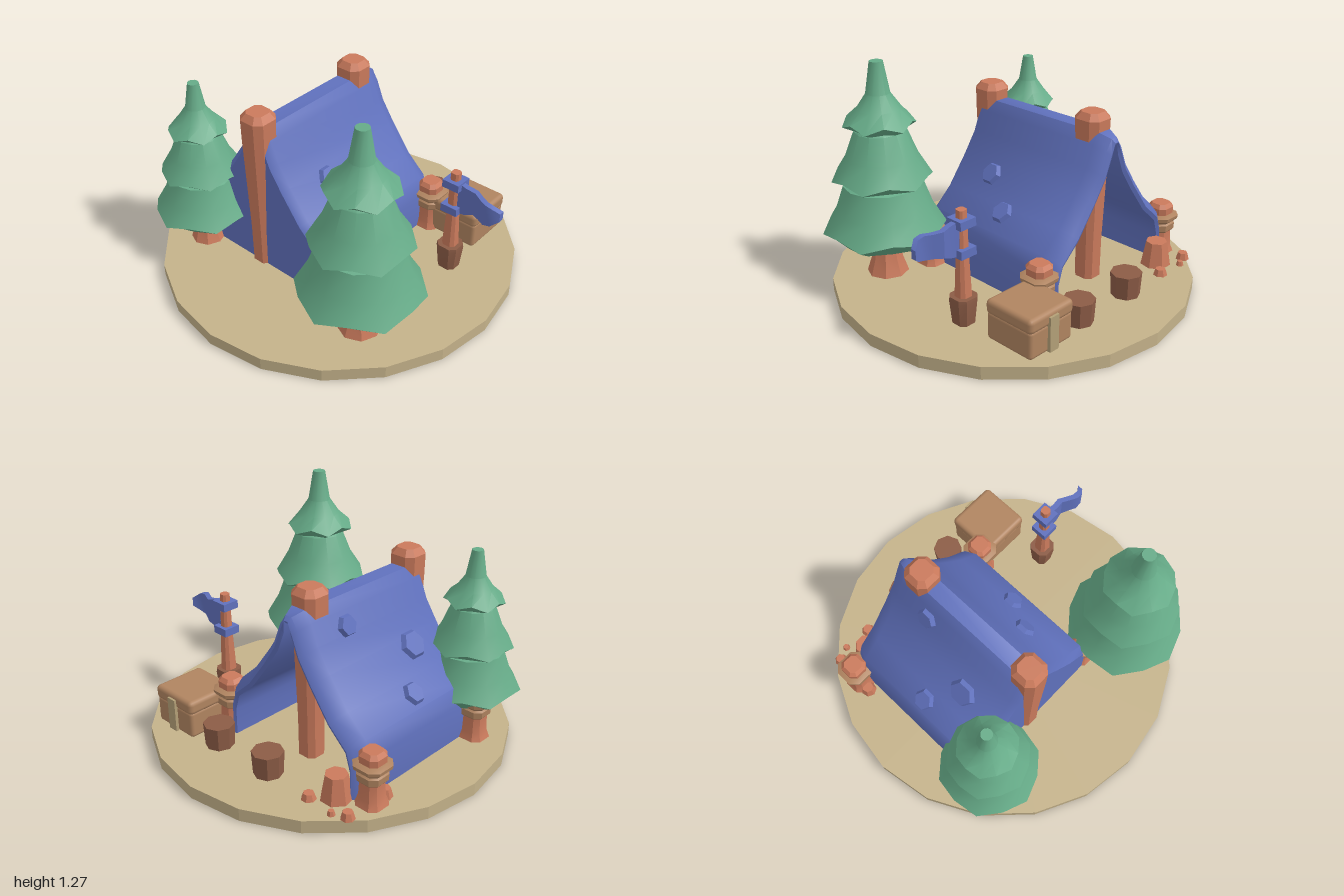
import * as THREE from 'three';
import { toCreasedNormals } from 'three/addons/utils/BufferGeometryUtils.js';
import { RoundedBoxGeometry } from 'three/addons/geometries/RoundedBoxGeometry.js';

const V = (x, y, z) => new THREE.Vector3(x, y, z);
const GROUND = 0.07;

function material(name, color, side = THREE.FrontSide) {
  const m = new THREE.MeshStandardMaterial({ color, side });
  m.name = name;
  return m;
}

// Skin a list of cross-sections
function loft(rings, { closed = true, caps = true, crease = 0.6 } = {}) {
  const collapse = (ring) => {
    const c = ring.reduce((s, p) => s.add(p), V(0, 0, 0)).divideScalar(ring.length);
    return ring.map(() => c);
  };
  const all = caps ? [collapse(rings[0]), ...rings, collapse(rings[rings.length - 1])] : rings;
  const pos = [];
  const tri = (...pts) => {
    const t = new THREE.Triangle(...pts);
    if (t.getArea() > 1e-9) pts.forEach((p) => pos.push(p.x, p.y, p.z));
  };
  for (let i = 0; i + 1 < all.length; i++) {
    const n = all[i].length;
    for (let j = 0; j < (closed ? n : n - 1); j++) {
      const k = (j + 1) % n;
      tri(all[i][j], all[i][k], all[i + 1][k]);
      tri(all[i][j], all[i + 1][k], all[i + 1][j]);
    }
  }
  const g = new THREE.BufferGeometry();
  g.setAttribute('position', new THREE.Float32BufferAttribute(pos, 3));
  return toCreasedNormals(g, crease);
}

// Square post with chamfered corners; rows are [height, half width]
function post(rows) {
  return loft(rows.map(([y, w]) => {
    const c = w * 0.55;
    return [[-c, w], [c, w], [w, c], [w, -c], [c, -w], [-c, -w], [-w, -c], [-w, c]]
      .map(([x, z]) => V(x, y, z));
  }));
}

// Tree crown tier profile rows: [radius, height, jaggedness]
function crown() {
  const rows = [
    [0.06, 0.30, 0], [0.25, 0.285, 0.3], [0.33, 0.35, 1], [0.265, 0.46, 0], [0.215, 0.60, 0],
    [0.20, 0.605, 0.3], [0.265, 0.645, 1], [0.195, 0.76, 0], [0.14, 0.90, 0],
    [0.13, 0.905, 0.3], [0.19, 0.945, 1], [0.12, 1.02, 0], [0.065, 1.10, 0], [0.036, 1.27, 0],
  ];
  const sides = 12;
  return loft(rows.map(([r, y, jag]) => Array.from({ length: sides }, (_, j) => {
    const a = (j / sides) * Math.PI * 2;
    const s = jag * (j % 2 ? 1 : -1);
    const rr = r * (1 - 0.025 * s);
    return V(Math.sin(a) * rr, y + 0.017 * s, Math.cos(a) * rr);
  })));
}

export function createModel() {
  const model = new THREE.Group();
  model.name = 'campsite';
  const sand = material('sand', 0xc4b28a);
  const blue = material('blue canvas', 0x6071bd, THREE.DoubleSide);
  const green = material('pine green', 0x66ab88);
  const wood = material('orange wood', 0xca7a5c);
  const bark = material('dark bark', 0x8c5c46);
  const crateWood = material('crate wood', 0xb08460);
  const metal = material('latch tan', 0xb3a077);

  const add = (name, geo, mat, x = 0, y = 0, z = 0, parent = model) => {
    const m = new THREE.Mesh(geo, mat);
    m.name = name;
    m.position.set(x, y, z);
    parent.add(m);
    return m;
  };

  // Ground disc
  add('ground', toCreasedNormals(new THREE.CylinderGeometry(1, 1, GROUND, 20), 0.2), sand, 0, GROUND / 2, 0);

  // Tent: symmetric sagging profile, closed in front and open at the back
  const cx = -0.215;
  const half = [[0.475, 0.07], [0.475, 0.28], [0.445, 0.375], [0.33, 0.48], [0.21, 0.64],
    [0.13, 0.76], [0.085, 0.87], [0.045, 0.93]];
  const profile = [...half, ...half.map(([x, y]) => [-x, y]).reverse()];
  const section = (z, inset, fold = 1) => profile.map(([x, y]) => {
    const w = Math.max(Math.abs(x) - inset, 0.012) * fold;
    return V(cx + Math.sign(x) * w, y > 0.1 ? y - inset : y, z);
  });
  add('tent', loft([
    section(0.40, 0.06), section(-0.52, 0.06), section(-0.53, 0.045), section(-0.51, 0.025), section(-0.44, 0),
    section(0.38, 0), section(0.42, 0.025), section(0.42, 0.025, 0),
  ], { closed: false, caps: false, crease: 0.8 }), blue);

  // Patches lying on the tent slopes: x, z, length down the slope, width
  for (const [x, z, len, wid] of [[0.14, -0.06, 0.15, 0.14], [0.03, 0.13, 0.15, 0.14],
    [-0.6, -0.02, 0.15, 0.14], [-0.455, 0.14, 0.19, 0.19], [-0.33, -0.23, 0.14, 0.14]]) {
    const d = Math.abs(x - cx);
    const i = half.findIndex(([hx], n) => n > 0 && hx <= d);
    const [x0, y0] = half[i - 1], [x1, y1] = half[i];
    const y = y0 + ((x0 - d) / (x0 - x1)) * (y1 - y0);
    const normal = V((y1 - y0) * Math.sign(x - cx), x0 - x1, 0).normalize();
    const geo = toCreasedNormals(new THREE.CylinderGeometry(0.36, 0.52, 0.05, 6), 0.2);
    const patch = add('tentPatch', geo.scale(len, 1, wid), blue, x, y, z);
    patch.quaternion.setFromUnitVectors(V(0, 1, 0), normal);
  }

  // Tent poles
  for (const z of [0.38, -0.365]) {
    add('tentPole', post([[0.07, 0.06], [0.3, 0.062], [0.86, 0.08], [0.985, 0.082], [1.02, 0.055]]), wood, cx, 0, z);
  }

  // Corner stakes with rope collars
  for (const [x, z] of [[0.29, -0.47], [-0.73, -0.47], [0.29, 0.36], [-0.73, 0.36]]) {
    const stake = new THREE.Group();
    stake.name = 'cornerStake';
    stake.position.set(x, 0, z);
    model.add(stake);
    add('stakePost', post([[0.07, 0.075], [0.11, 0.06], [0.22, 0.055], [0.3, 0.06], [0.35, 0.062], [0.372, 0.045]]),
      wood, 0, 0, 0, stake);
    add('lowerRope', post([[0.205, 0.062], [0.215, 0.07], [0.25, 0.072], [0.26, 0.062]]), crateWood, 0, 0, 0, stake);
    add('upperRope', post([[0.26, 0.065], [0.28, 0.085], [0.30, 0.088], [0.312, 0.065]]), crateWood, 0, 0, 0, stake);
  }

  // Pine trees
  for (const [x, z, s] of [[0.53, 0.455, 1], [-0.6, 0.465, 0.84]]) {
    const tree = new THREE.Group();
    tree.name = 'pineTree';
    tree.position.set(x, GROUND * (1 - s), z);
    tree.scale.setScalar(s);
    model.add(tree);
    const trunk = new THREE.LatheGeometry([[0.115, 0.07], [0.085, 0.16], [0.065, 0.31]]
      .map(([r, y]) => new THREE.Vector2(r, y)), 8);
    add('trunk', toCreasedNormals(trunk, 0.4), wood, 0, 0, 0, tree);
    add('crown', crown(), green, 0, 0, 0, tree);
  }

  // Sitting stumps
  for (const x of [-0.19, 0.19]) {
    add('stump', toCreasedNormals(new THREE.CylinderGeometry(0.085, 0.078, 0.13, 8), 0.4), bark, x, 0.135, -0.65);
  }

  // Rocks: x, z, radius, height
  for (const [x, z, r, h] of [[-0.58, -0.56, 0.085, 0.14], [-0.73, -0.64, 0.038, 0.04],
    [-0.655, -0.675, 0.022, 0.025], [-0.49, -0.66, 0.04, 0.035], [-0.74, -0.39, 0.045, 0.05]]) {
    add('rock', toCreasedNormals(new THREE.CylinderGeometry(r * 0.7, r, h, 7), 0.3), wood, x, GROUND + h / 2, z);
  }

  // Crate with lid and latch strap
  add('crateBody', new RoundedBoxGeometry(0.295, 0.155, 0.295, 2, 0.02), crateWood, 0.475, 0.1475, -0.58);
  add('crateLid', new RoundedBoxGeometry(0.305, 0.08, 0.305, 2, 0.025), crateWood, 0.475, 0.25, -0.58);
  add('crateLatch', new THREE.BoxGeometry(0.06, 0.19, 0.02), metal, 0.475, 0.17, -0.735);

  // Flag on its pole
  const flag = new THREE.Group();
  flag.name = 'flag';
  flag.position.set(0.595, 0, -0.24);
  model.add(flag);
  add('flagBase', post([[0.07, 0.052], [0.2, 0.064], [0.22, 0.062]]), bark, 0, 0, 0, flag);
  add('flagPole', post([[0.2, 0.04], [0.45, 0.029], [0.69, 0.024]]), wood, 0, 0, 0, flag);
  for (const y of [0.47, 0.625]) add('flagTie', new THREE.BoxGeometry(0.1, 0.045, 0.1), blue, 0, y, 0, flag);
  const cloth = [[0.03, 0, 0.545, 0.095], [0.08, 0.003, 0.545, 0.085], [0.13, -0.005, 0.55, 0.07],
    [0.175, 0.018, 0.55, 0.064], [0.215, 0.038, 0.55, 0.064], [0.255, 0.036, 0.55, 0.055], [0.293, 0.008, 0.55, 0.025]];
  add('flagCloth', loft(cloth.map(([x, z, y, h]) => [
    V(x, y + h, z - 0.016), V(x, y + h, z + 0.016), V(x, y - h, z + 0.016), V(x, y - h, z - 0.016)])),
  blue, 0, 0, 0, flag);

  return model;
}
